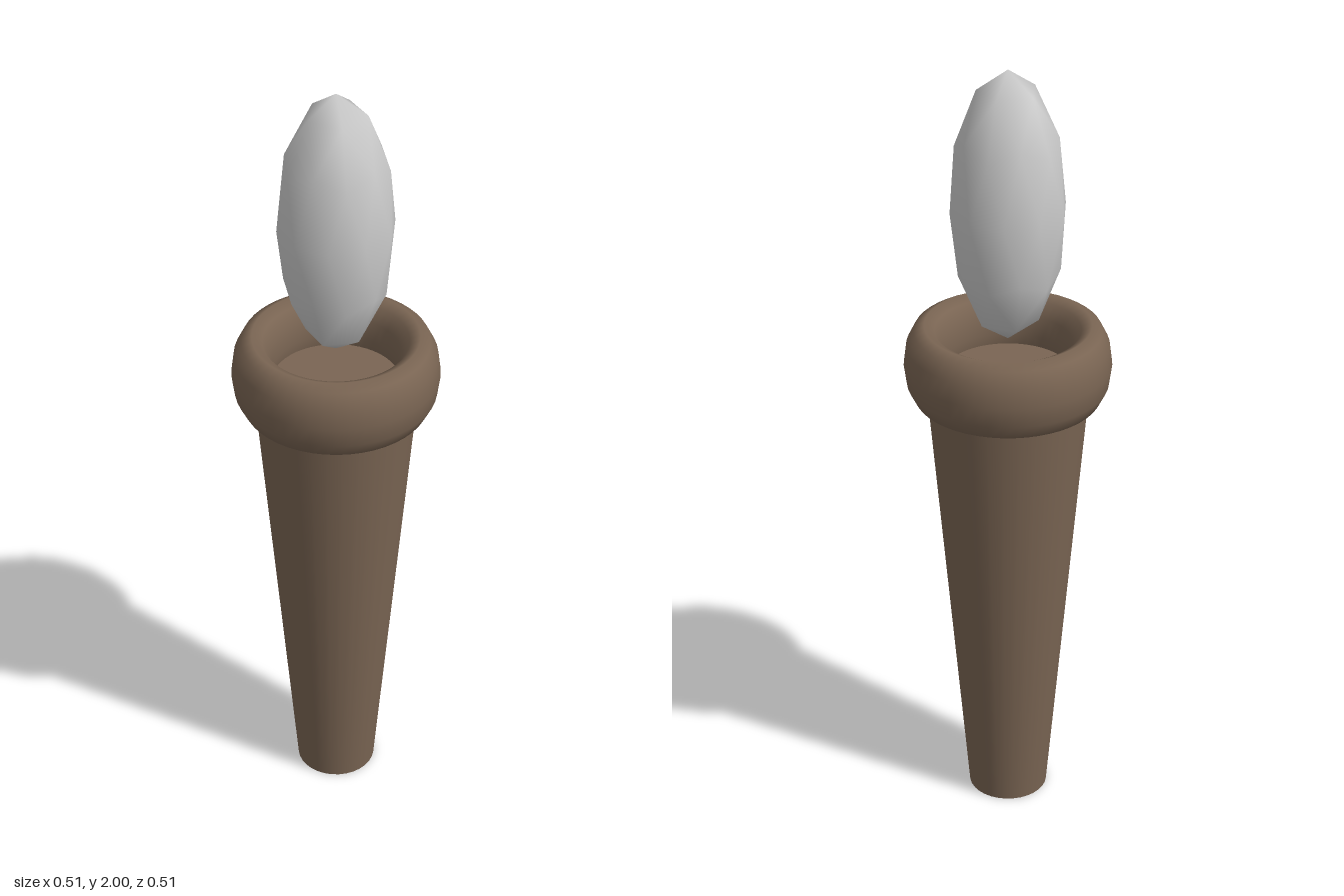
import * as THREE from 'three';

export function createModel() {
  const group = new THREE.Group();
  const wood = new THREE.MeshStandardMaterial({ color: 0x7a6553 });
  const grey = new THREE.MeshStandardMaterial({ color: 0xcccccc });

  const add = (name, geometry, material, y) => {
    const mesh = new THREE.Mesh(geometry, material);
    mesh.name = name;
    mesh.position.y = y;
    group.add(mesh);
  };

  // Tapered handle, closed at both ends; its top is the floor of the cup
  const handleHeight = 1.22;
  add('handle', new THREE.CylinderGeometry(0.204, 0.102, handleHeight, 32), wood, handleHeight / 2);

  // Collar: a ring laid flat and stretched to twice its height
  const collar = new THREE.TorusGeometry(0.204, 0.051, 12, 48);
  collar.rotateX(Math.PI / 2).scale(1, 2, 1);
  add('collar', collar, wood, 1.248);

  // Flame: a faceted sphere turned to stand on a corner, then stretched
  const flame = new THREE.IcosahedronGeometry(1, 1);
  flame.rotateZ(-Math.atan(2 / (1 + Math.sqrt(5)))).scale(0.142, 0.344, 0.142);
  add('flame', flame, grey, 1.656);

  return group;
}
